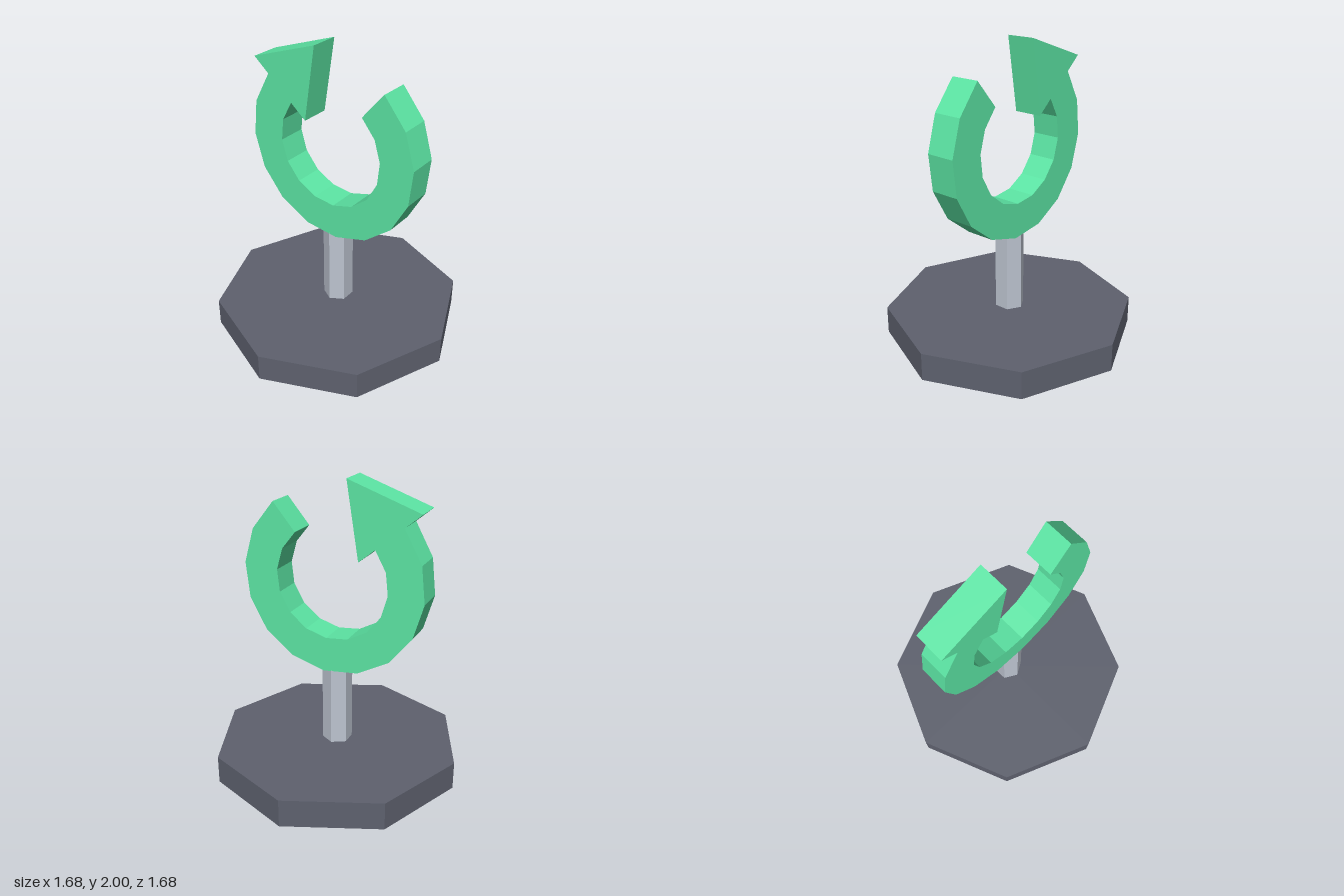
import * as THREE from 'three';

const flat = (name, color) => {
  const m = new THREE.MeshStandardMaterial({ color, flatShading: true });
  m.name = name;
  return m;
};

function part(name, geometry, material, y = 0) {
  const mesh = new THREE.Mesh(geometry, material);
  mesh.name = name;
  mesh.position.y = y;
  return mesh;
}

// Circular arrow outline: a 270 degree ring ending in a triangular head
function arrowShape() {
  const outer = 0.622, inner = 0.385, steps = 12;
  const deg = Math.PI / 180, start = 50 * deg, end = -220 * deg;
  const at = (r, a) => new THREE.Vector2(Math.cos(a) * r, Math.sin(a) * r);
  const points = [];
  for (let i = 0; i <= steps; i++) points.push(at(outer, start + (end - start) * i / steps));

  // Head: two barbs and a tip along the tangent
  const mid = (outer + inner) / 2, halfWidth = 0.262, length = 0.438;
  const tip = at(mid, end).add(at(length, end - Math.PI / 2));
  points.push(at(mid + halfWidth, end), tip, at(mid - halfWidth, end));

  for (let i = steps; i >= 0; i--) points.push(at(inner, start + (end - start) * i / steps));
  return new THREE.Shape(points);
}

export function createModel() {
  const group = new THREE.Group();
  group.name = 'arrowSign';
  const green = flat('green', 0x5ce5a4);
  const steel = flat('steel grey', 0xbdc4d0);
  const slate = flat('dark slate', 0x5e616e);

  // Octagonal foot
  const baseH = 0.188;
  group.add(part('base', new THREE.CylinderGeometry(0.84, 0.84, baseH, 8), slate, baseH / 2));

  // Hexagonal post
  const postTop = 0.735, postH = postTop - baseH + 0.02;
  group.add(part('post', new THREE.CylinderGeometry(0.1, 0.1, postH, 6), steel, postTop - postH / 2));

  // Circular arrow
  const depth = 0.198;
  const arrow = new THREE.ExtrudeGeometry(arrowShape(), { depth, bevelEnabled: false });
  arrow.translate(0, 0, -depth / 2);
  group.add(part('circularArrow', arrow, green, 1.34));

  return group;
}
